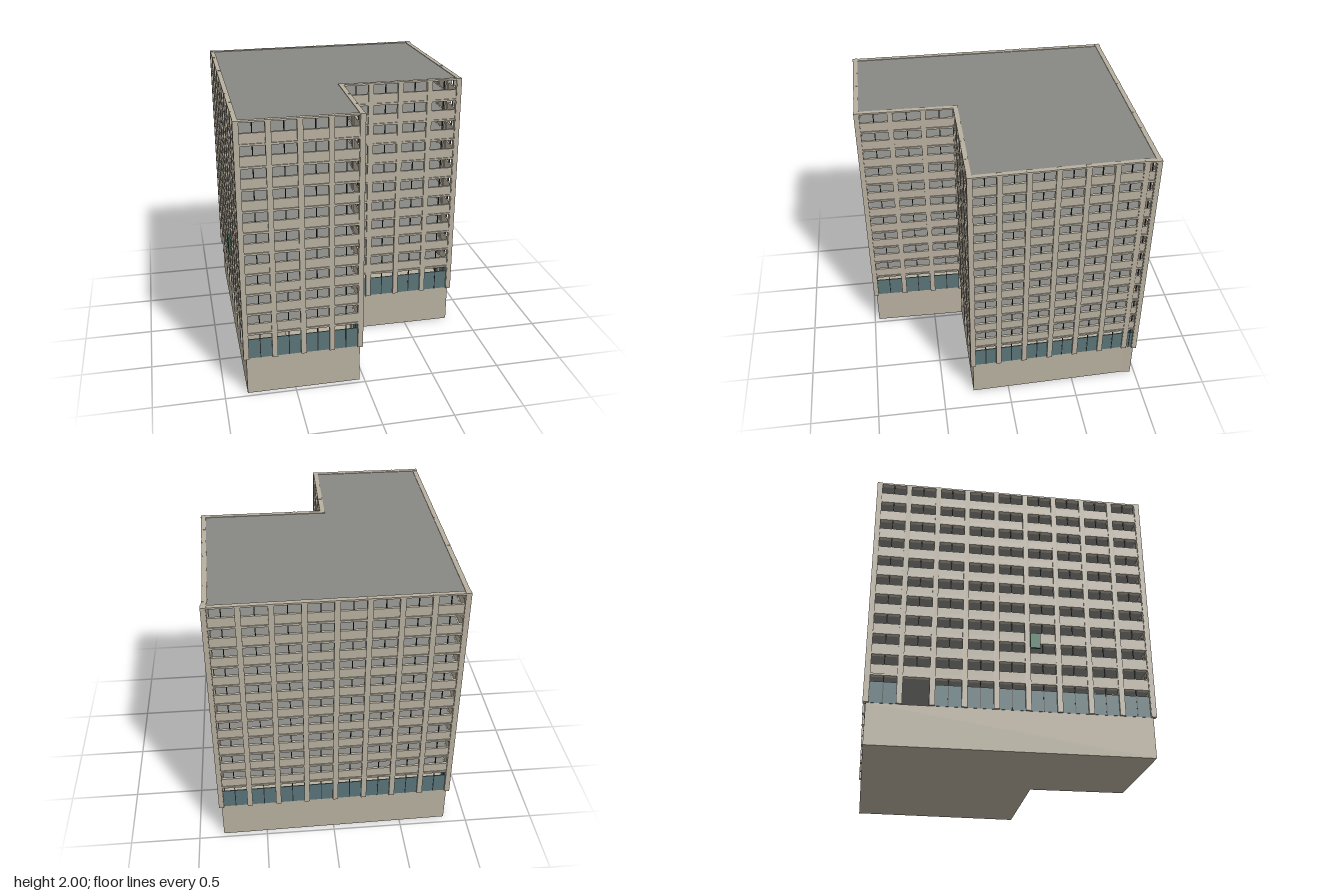
import * as THREE from 'three';
import { mergeGeometries } from 'three/addons/utils/BufferGeometryUtils.js';

// Footprint corners [x, z] and the number of window bays on the wall to the next corner
const CORNERS = [
  [-0.84, 0.965, 4], // front of wing
  [-0.035, 0.965, 3], // inner side of wing
  [-0.027, 0.27, 4], // front of main block
  [0.845, 0.27, 6], // +x side
  [0.812, -0.89, 1], // short bend at the rear corner
  [0.82, -0.967, 8], // back
  [-0.84, -0.945, 9], // -x side
];
const ENTRANCE = { wall: 6, bay: 7 };
const BASE_TOP = 0.285, TOP = 2, FLOOR_H = 0.151, FLOORS = 10;
const FIRST_LEDGE = 0.482, GLASS_TOP = 0.435;

const mat = (color, side = THREE.FrontSide) =>
  new THREE.MeshStandardMaterial({ color, side });

// Horizontal slab with the outline of the building
function slab(y, height) {
  const shape = new THREE.Shape(CORNERS.map(([x, z]) => new THREE.Vector2(x, -z)));
  const g = new THREE.ExtrudeGeometry(shape, { depth: height, bevelEnabled: false });
  return g.rotateX(-Math.PI / 2).translate(0, y, 0);
}

// Box between two heights, given its centre and size along the wall
function block(x, width, y0, y1, depth) {
  return new THREE.BoxGeometry(width, y1 - y0, depth).translate(x, (y0 + y1) / 2, 0);
}

export function createModel() {
  const model = new THREE.Group();
  const concrete = mat(0xb8b0a0);
  const add = (name, geometry, material) => {
    const mesh = new THREE.Mesh(geometry, material);
    mesh.name = name;
    model.add(mesh);
  };

  const parts = { columns: [], ledges: [], spandrels: [], glass: [], mullions: [] };

  CORNERS.forEach(([x0, z0, bays], wall) => {
    const [x1, z1] = CORNERS[(wall + 1) % CORNERS.length];
    const length = Math.hypot(x1 - x0, z1 - z0);
    const place = new THREE.Matrix4()
      .makeRotationY(-Math.atan2(z1 - z0, x1 - x0))
      .setPosition(x0, 0, z0);
    const put = (part, ...args) => parts[part].push(block(...args).applyMatrix4(place));
    const mid = length / 2, step = length / bays;

    // Columns, including both ends so that corners get crossed posts
    for (let i = 0; i <= bays; i++) put('columns', i * step, 0.038, BASE_TOP, TOP, 0.034);

    // Parapet rim, floor ledges and window parapets
    put('ledges', mid, length, 1.987, TOP - 0.001, 0.033);
    for (let f = 0; f < FLOORS; f++) {
      const y = FIRST_LEDGE + f * FLOOR_H;
      put('ledges', mid, length, y - 0.007, y + 0.007, 0.033);
      put('spandrels', mid, length, y + 0.007, y + 0.075, 0.018);
    }

    // Ground floor glazing and thin mullions
    for (let i = 0; i < bays; i++) {
      const x = (i + 0.5) * step;
      const open = wall === ENTRANCE.wall && i === bays - 1 - ENTRANCE.bay;
      if (!open) put('glass', x, step, BASE_TOP, GLASS_TOP, 0.006);
      put('mullions', x, 0.006, open ? FIRST_LEDGE : BASE_TOP, 1.99, 0.01);
    }
  });

  add('base', slab(0, BASE_TOP), concrete);
  add('columns', mergeGeometries(parts.columns), concrete);
  add('ledges', mergeGeometries(parts.ledges), concrete);
  add('spandrels', mergeGeometries(parts.spandrels), concrete);
  add('groundFloorGlass', mergeGeometries(parts.glass), mat(0x5a7478));
  add('mullions', mergeGeometries(parts.mullions), mat(0x2a2c2c));

  // Floor plates and roof
  const floors = [];
  for (let f = 0; f < FLOORS; f++) floors.push(slab(FIRST_LEDGE + f * FLOOR_H - 0.005, 0.01));
  const grey = mat(0x888885);
  add('floorPlates', mergeGeometries(floors), grey);
  add('roof', slab(1.988, 0.007), grey);

  // Recessed entrance on the -x side
  const box = (w, h, d, x, y, z) => new THREE.BoxGeometry(w, h, d).translate(x, y, z);
  add('entranceRecess', mergeGeometries([
    box(0.3, 0.16, 0.008, -0.68, 0.365, 0.555),
    box(0.3, 0.16, 0.008, -0.68, 0.365, 0.732),
    box(0.3, 0.008, 0.18, -0.68, 0.441, 0.643),
    box(0.008, 0.16, 0.18, -0.532, 0.365, 0.643),
  ]), concrete);

  // Small projecting sign on the -x side
  add('wallSign', box(0.016, 0.11, 0.07, -0.862, 0.793, 0.168), mat(0x2f6b52));

  return model;
}
